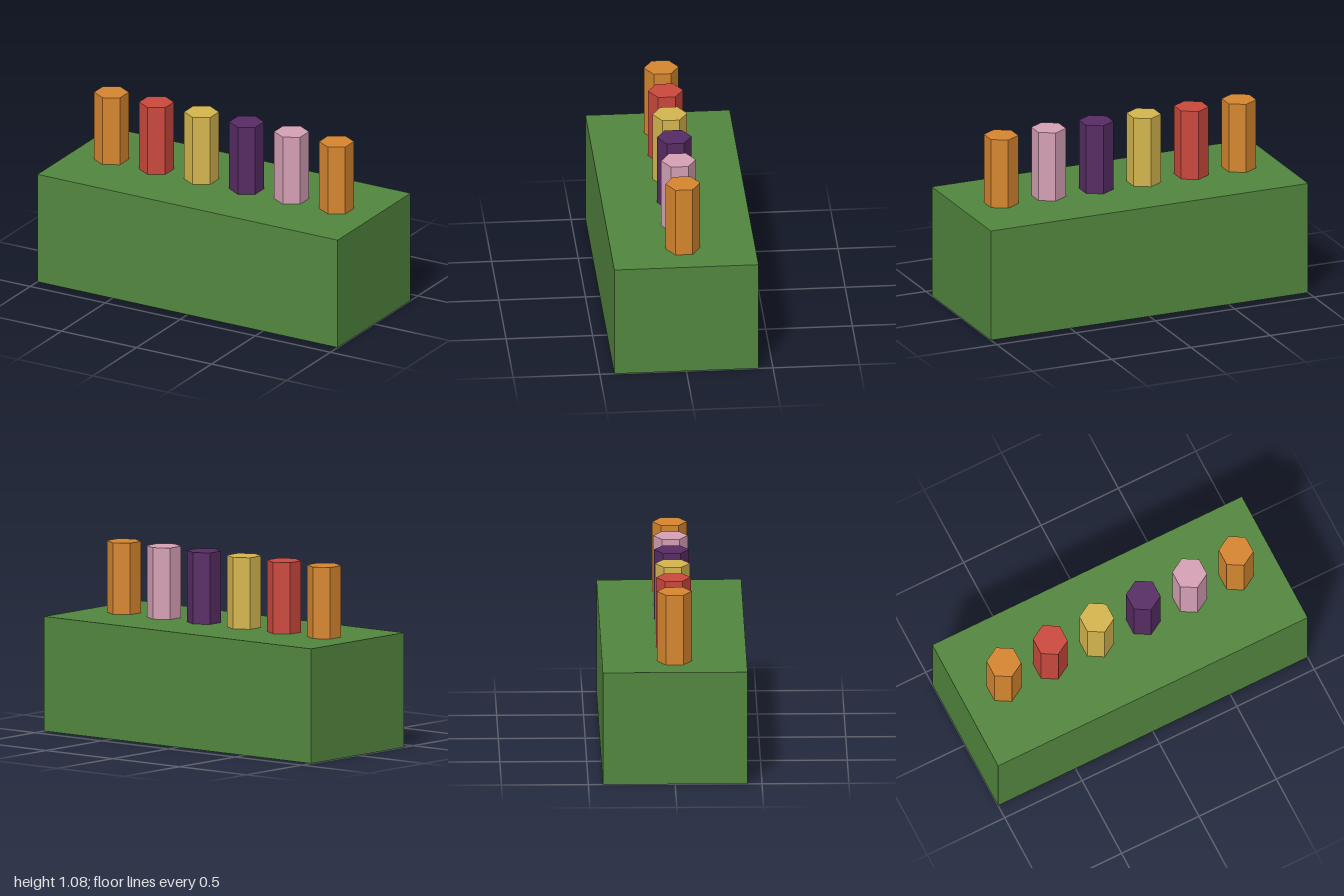
import * as THREE from 'three';

const BASE = { width: 2, height: 0.667, depth: 0.833 };
const PEG = { radius: 0.1, height: 0.416, spacing: 0.3 };

function material(name, color) {
  const m = new THREE.MeshStandardMaterial({ color, flatShading: true });
  m.name = name;
  return m;
}

export function createModel() {
  const model = new THREE.Group();
  model.name = 'pegBlock';

  const green = material('green', 0x52863e);
  const orange = material('orange', 0xd6862f);
  const red = material('red', 0xca483d);
  const yellow = material('yellow', 0xd4b64e);
  const purple = material('purple', 0x572c64);
  const pink = material('pink', 0xd5a0b5);

  // Solid block the pegs stand on
  const base = new THREE.Mesh(new THREE.BoxGeometry(BASE.width, BASE.height, BASE.depth), green);
  base.name = 'base';
  base.position.y = BASE.height / 2;
  model.add(base);

  // Row of hexagonal pegs, one corner facing the front
  const pegGeometry = new THREE.CylinderGeometry(PEG.radius, PEG.radius, PEG.height, 6);
  const colours = [orange, red, yellow, purple, pink, orange];
  colours.forEach((colour, i) => {
    const peg = new THREE.Mesh(pegGeometry, colour);
    peg.name = `peg${i + 1}`;
    peg.position.set((i - (colours.length - 1) / 2) * PEG.spacing, BASE.height + PEG.height / 2, 0);
    model.add(peg);
  });

  return model;
}
